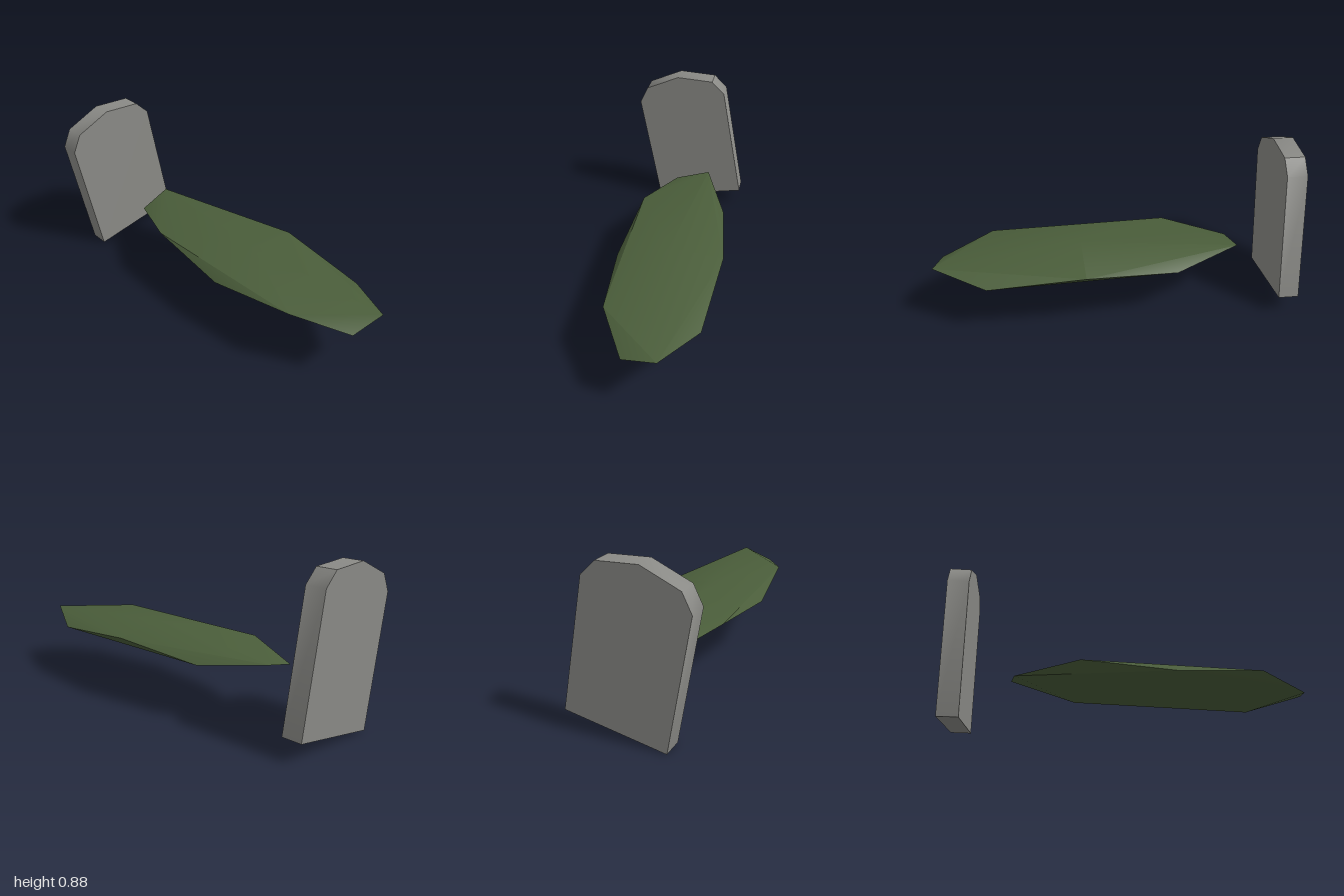
import * as THREE from 'three';
import { toCreasedNormals } from 'three/addons/utils/BufferGeometryUtils.js';

const stoneGrey = new THREE.MeshStandardMaterial({ color: 0x8a8a86 });
const mossGreen = new THREE.MeshStandardMaterial({ color: 0x4a5d3a });

// Leaning slab with a chamfered, arched top
function createHeadstone() {
  const outline = [
    [-0.207, 0], [0.326, 0.104], [0.193, 0.793], [0.117, 0.866],
    [-0.097, 0.876], [-0.292, 0.788], [-0.339, 0.69],
  ];
  const shape = new THREE.Shape(outline.map(([x, y]) => new THREE.Vector2(x, y)));
  const depth = 0.11;
  const geometry = new THREE.ExtrudeGeometry(shape, { depth, bevelEnabled: false });
  geometry.translate(0, 0, -depth);
  const stone = new THREE.Mesh(toCreasedNormals(geometry, 0.7), stoneGrey);
  stone.name = 'headstone';
  stone.position.z = -0.879;
  stone.rotation.y = -0.034;
  return stone;
}

// Flattened mound: apex, two staggered five-point rings and a flat underside
function createMound() {
  const upper = [[0.335, 0.2], [0.13, 1], [-0.2, 0.68], [-0.2, -0.3], [0.14, -0.66]]
    .map(([x, z]) => [x, 0.352, z]);
  const lower = [[0.292, 0.72], [-0.05, 0.96], [-0.245, 0.2], [-0.055, -0.64], [0.28, -0.3]]
    .map(([x, z]) => [x, 0.302, z]);
  const apex = [0.042, 0.39, 0.2];
  const base = [0.042, 0.302, 0.2];
  const points = [];
  for (let i = 0; i < 5; i++) {
    const n = (i + 1) % 5;
    points.push(apex, upper[n], upper[i]);
    points.push(upper[i], upper[n], lower[i]);
    points.push(lower[i], upper[n], lower[n]);
    points.push(lower[i], lower[n], base);
  }
  const geometry = new THREE.BufferGeometry();
  geometry.setAttribute('position', new THREE.Float32BufferAttribute(points.flat(), 3));
  const mound = new THREE.Mesh(toCreasedNormals(geometry, 0.6), mossGreen);
  mound.name = 'graveMound';
  return mound;
}

export function createModel() {
  const model = new THREE.Group();
  model.name = 'grave';
  model.add(createHeadstone(), createMound());
  return model;
}
